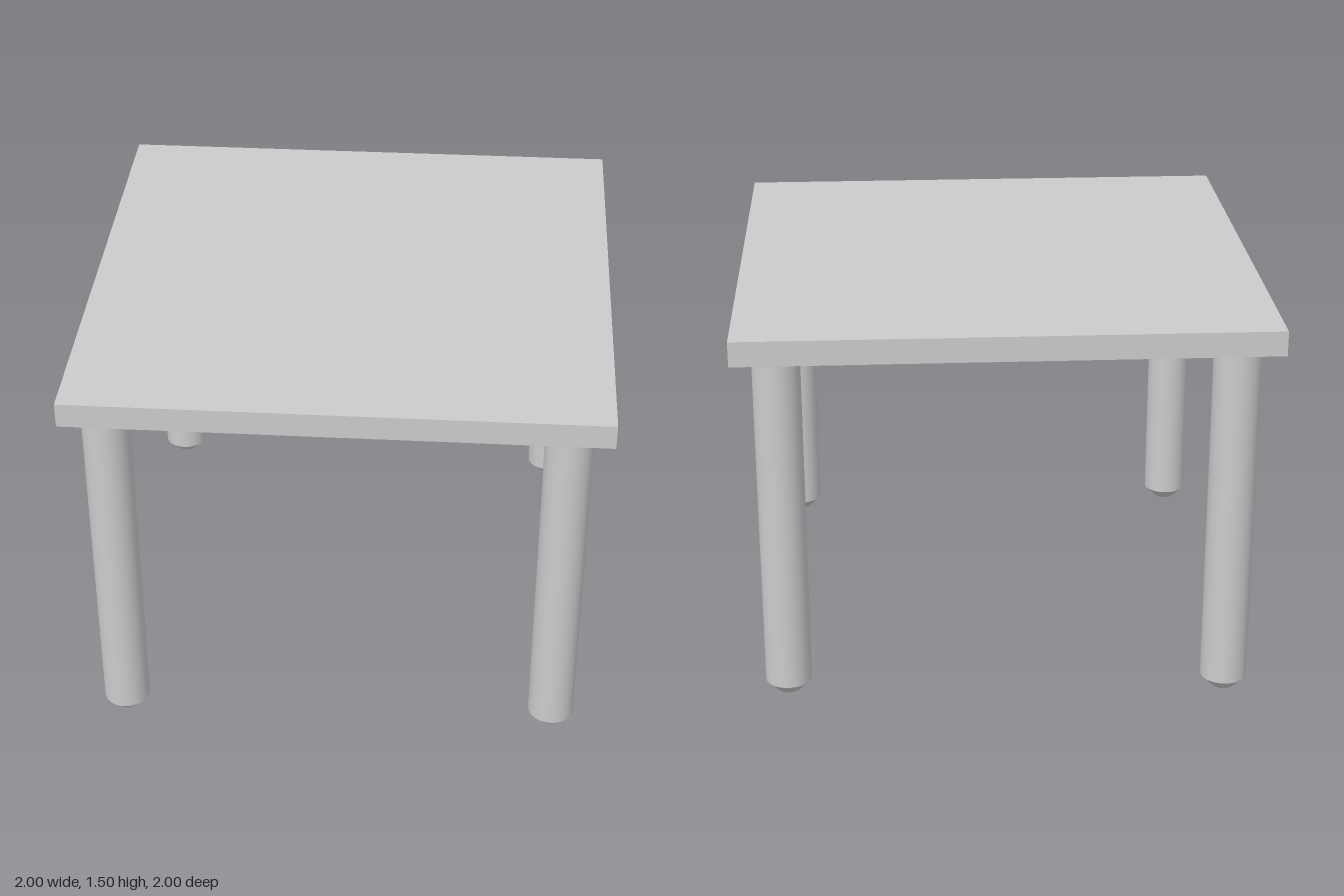
import * as THREE from 'three';

const material = new THREE.MeshStandardMaterial({ color: 0xcccccc, side: THREE.DoubleSide });

const TOP = 1.5, RIM = 1.405;        // tabletop surface and lower edge of its rim
const R = 0.089, FOOT_R = 0.045;     // leg and foot radii
const FOOT_H = 0.045, SLOT_Y = 1.22; // height of the bevelled foot, start of the slot
const SLOT_HALF = 0.63;              // half the angle of the slot
const SEGMENTS = 32;

function addPart(parent, name, geometry, y) {
  const mesh = new THREE.Mesh(geometry, material);
  mesh.name = name;
  mesh.position.y = y;
  parent.add(mesh);
  return mesh;
}

// Hollow leg with a bevelled foot and an upper slot facing the table's middle
function createLeg(name, x, z) {
  const leg = new THREE.Group();
  leg.name = name;
  leg.position.set(x, 0, z);

  const inward = Math.atan2(-Math.sign(x), -Math.sign(z));
  const upperH = TOP - SLOT_Y, lowerH = SLOT_Y - FOOT_H;

  addPart(leg, 'slottedUpperLeg', new THREE.CylinderGeometry(R, R, upperH, SEGMENTS, 1, true,
    inward + SLOT_HALF, 2 * Math.PI - 2 * SLOT_HALF), SLOT_Y + upperH / 2);
  addPart(leg, 'lowerLeg', new THREE.CylinderGeometry(R, R, lowerH, SEGMENTS, 1, true),
    FOOT_H + lowerH / 2);
  addPart(leg, 'footBevel', new THREE.CylinderGeometry(R, FOOT_R, FOOT_H, SEGMENTS, 1, true),
    FOOT_H / 2);
  addPart(leg, 'footBase', new THREE.CircleGeometry(FOOT_R, SEGMENTS).rotateX(Math.PI / 2), 0);
  return leg;
}

export function createModel() {
  const table = new THREE.Group();
  table.name = 'table';

  // Tabletop: a box left open underneath (its fourth face is the bottom)
  const top = new THREE.BoxGeometry(2, TOP - RIM, 2);
  const index = Array.from(top.index.array);
  index.splice(18, 6);
  top.setIndex(index);
  top.clearGroups();
  addPart(table, 'tabletop', top, (TOP + RIM) / 2);

  // Legs, each at its own depth
  table.add(
    createLeg('frontLeftLeg', 0.842, 0.87),
    createLeg('frontRightLeg', -0.842, 0.89),
    createLeg('backLeftLeg', 0.842, -0.817),
    createLeg('backRightLeg', -0.842, -0.877),
  );
  return table;
}
